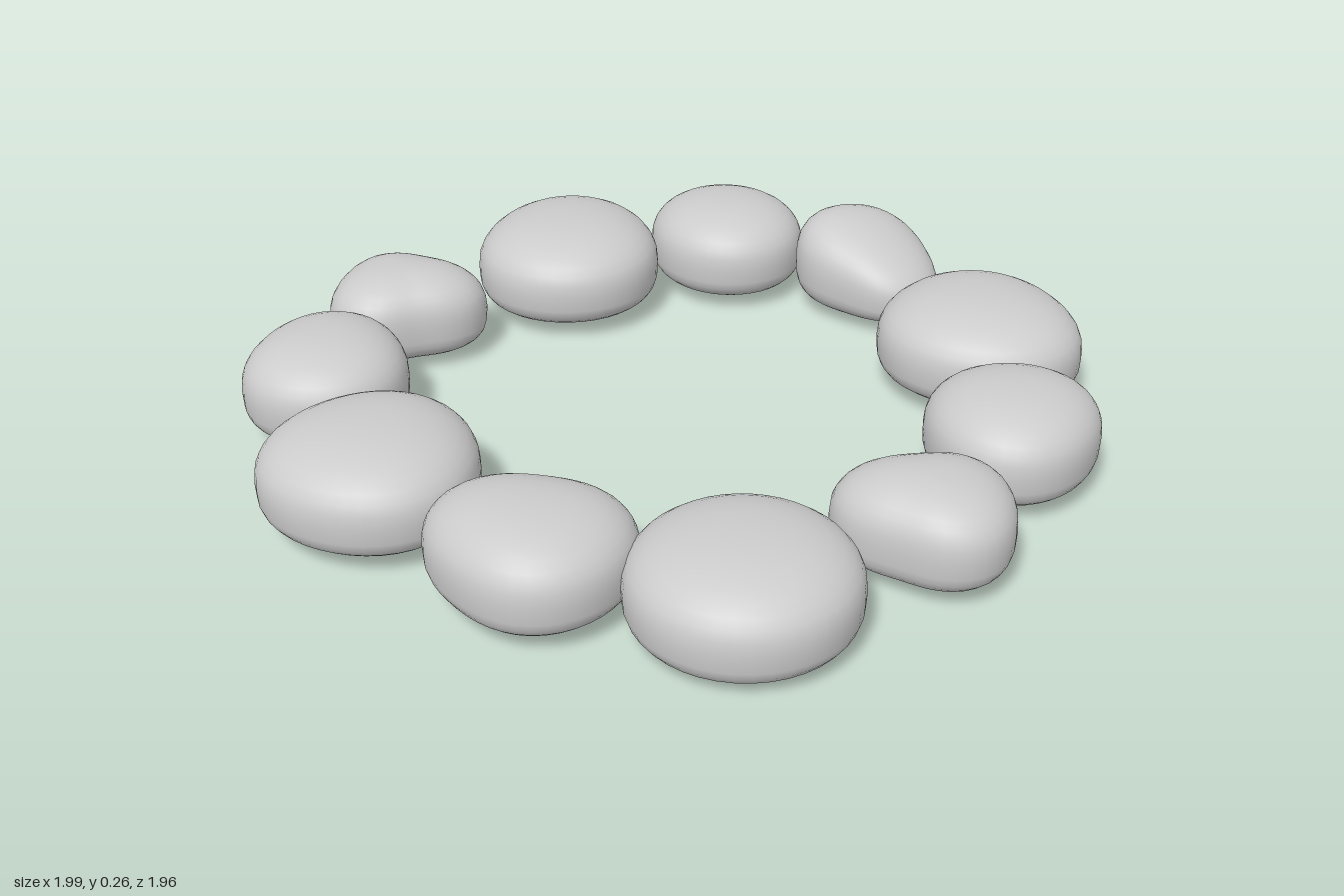
import * as THREE from 'three';
import { mergeVertices } from 'three/addons/utils/BufferGeometryUtils.js';

const material = new THREE.MeshStandardMaterial({ color: 0xcccccc });
const { degToRad } = THREE.MathUtils;

// Upright pebble section of unit radius and height: flat below, domed above
const widest = 0.47;
const steps = 18;
const profile = Array.from({ length: steps + 1 }, (_, i) => {
  const t = (i / steps - 0.5) * Math.PI;
  const below = t < 0;
  const power = below ? 0.6 : 0.83;
  const rise = Math.abs(Math.sin(t)) ** power;
  const radius = i % steps === 0 ? 0 : Math.cos(t) ** power;
  return new THREE.Vector2(radius, below ? widest * (1 - rise) : widest + (1 - widest) * rise);
});

// A pebble of mean radius r. oval and lobe are [amount, direction in degrees from +x
// towards +z]: one lengthens the outline, the other makes it three-cornered.
// lean slopes the upper side along z.
function makeStone({ x, z, r, oval = [0, 0], lobe = [0, 0], base = 0.02, lean = 0 }) {
  const height = 0.19 + 0.2 * r;
  let geometry = new THREE.LatheGeometry(profile, 40);
  const pos = geometry.attributes.position;
  for (let i = 0; i < pos.count; i++) {
    const px = pos.getX(i), pz = pos.getZ(i);
    const angle = Math.atan2(pz, px);
    const radius = r
      + oval[0] * Math.cos(2 * (angle - degToRad(oval[1])))
      + lobe[0] * Math.cos(3 * (angle - degToRad(lobe[1])));
    const dz = pz * radius;
    pos.setXYZ(i, px * radius, base + pos.getY(i) * (height + lean * dz), dz);
  }
  // Weld the seam so the surface shades smoothly all round
  geometry.deleteAttribute('uv');
  geometry.deleteAttribute('normal');
  geometry = mergeVertices(geometry, 1e-5);
  geometry.computeVertexNormals();
  const mesh = new THREE.Mesh(geometry, material);
  mesh.position.set(x, 0, z);
  return mesh;
}

export function createModel() {
  const ring = new THREE.Group();
  ring.name = 'stoneRing';

  // Stones in order round the ring, starting at the front
  const stones = [
    { x: -0.51, z: 0.63, r: 0.25, base: 0 },
    { x: -0.08, z: 0.78, r: 0.182, oval: [0.018, 62], lobe: [0.014, -2] },
    { x: 0.34, z: 0.71, r: 0.207, oval: [0.006, -19], lobe: [0.005, 23] },
    { x: 0.66, z: 0.4, r: 0.247, oval: [0.008, 90], lobe: [0.007, 90] },
    { x: 0.82, z: -0.06, r: 0.182, oval: [0.015, 93], lobe: [0.011, -13], lean: -0.3 },
    { x: 0.69, z: -0.45, r: 0.207, oval: [0.006, 105] },
    { x: 0.31, z: -0.68, r: 0.247, oval: [0.009, -37], lobe: [0.005, -41] },
    { x: -0.17, z: -0.8, r: 0.179, oval: [0.018, 41], lobe: [0.017, 53] },
    { x: -0.54, z: -0.65, r: 0.205, oval: [0.01, -36], lobe: [0.006, -43] },
    { x: -0.75, z: -0.24, r: 0.247, lobe: [0.006, -20] },
    { x: -0.73, z: 0.24, r: 0.215, oval: [0.017, 74], lobe: [0.01, 22] },
  ];
  stones.forEach((spec, i) => {
    const stone = makeStone(spec);
    stone.name = `stone${i + 1}`;
    ring.add(stone);
  });
  return ring;
}
